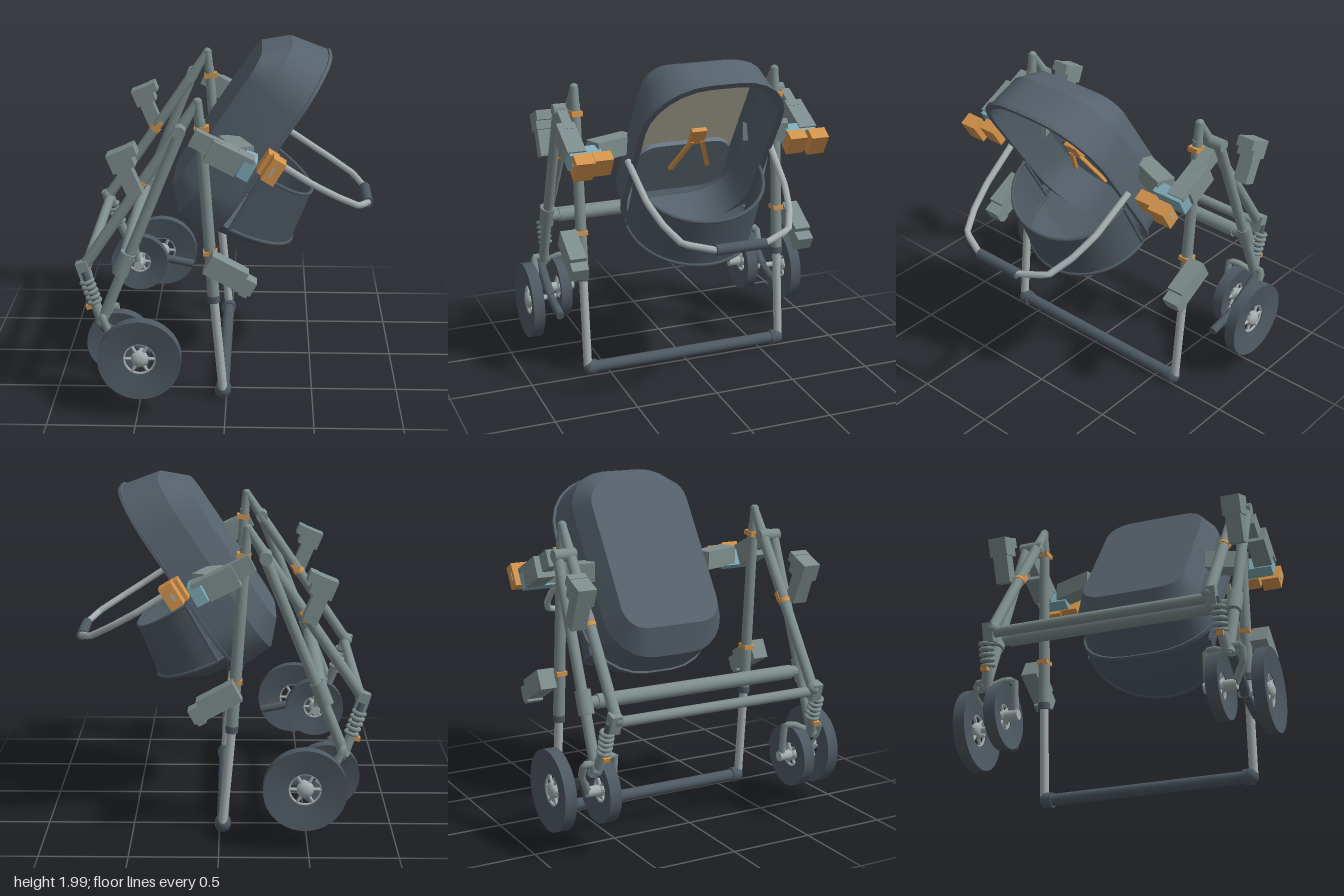
import * as THREE from 'three';
import { toCreasedNormals } from 'three/addons/utils/BufferGeometryUtils.js';

const V = (x, y, z) => new THREE.Vector3(x, y, z);
const mat = (name, color, double) => {
  const m = new THREE.MeshStandardMaterial({ color });
  m.name = name;
  if (double) m.side = THREE.DoubleSide;
  return m;
};

// Rounded rectangle in the y-z plane at depth x
function ring(x, y0, y1, hz, r, k = 6) {
  const pts = [], yc = (y0 + y1) / 2, hy = (y1 - y0) / 2;
  for (let q = 0; q < 4; q++) {
    const sy = q === 0 || q === 3 ? 1 : -1, sz = q < 2 ? 1 : -1;
    for (let i = 0; i <= k; i++) {
      const t = (q + i / k) * Math.PI / 2;
      pts.push(V(x, yc + sy * (hy - r) + r * Math.cos(t), sz * (hz - r) + r * Math.sin(t)));
    }
  }
  return pts;
}

// Skin a list of equal-length rows, with optional end caps
function loft(rows, { closed = true, capStart = false, capEnd = false } = {}) {
  const out = [], n = rows[0].length;
  const tri = (...p) => p.forEach(v => out.push(v.x, v.y, v.z));
  const cap = (row, flip) => {
    const c = row.reduce((s, p) => s.add(p), V(0, 0, 0)).divideScalar(n);
    row.forEach((p, j) => {
      const q = row[(j + 1) % n];
      if (flip) tri(c, q, p); else tri(c, p, q);
    });
  };
  for (let i = 0; i < rows.length - 1; i++)
    for (let j = 0; j < (closed ? n : n - 1); j++) {
      const k = (j + 1) % n, a = rows[i][j], b = rows[i][k], c = rows[i + 1][k], d = rows[i + 1][j];
      tri(a, b, c);
      tri(a, c, d);
    }
  if (capStart) cap(rows[0], true);
  if (capEnd) cap(rows[rows.length - 1], false);
  const g = new THREE.BufferGeometry();
  g.setAttribute('position', new THREE.Float32BufferAttribute(out, 3));
  return toCreasedNormals(g, 0.3);
}

export function createModel() {
  const root = new THREE.Group();
  root.name = 'stroller';
  const shell = mat('shellSlate', 0x56626d), fabric = mat('apronSlate', 0x505b65, true);
  const steel = mat('frameGrey', 0x7e8d8d), dark = mat('darkTube', 0x4e5962);
  const light = mat('lightMetal', 0xa6afb0), orange = mat('orangeClip', 0xd4944c);
  const teal = mat('tealLatch', 0x7eaab6), beige = mat('beigeLiner', 0xcbc6b2);
  const blanket = mat('blanketSlate', 0x6a7783);

  const add = (name, geo, m, p = V(0, 0, 0), rz = 0, parent = root) => {
    const mesh = new THREE.Mesh(geo, m);
    mesh.name = name;
    mesh.position.copy(p);
    mesh.rotation.z = rz;
    parent.add(mesh);
    return mesh;
  };
  const box = (name, p, size, m, rz = 0, parent = root) => add(name, new THREE.BoxGeometry(...size), m, p, rz, parent);
  const ball = (name, p, r, m) => add(name, new THREE.SphereGeometry(r, 16, 12), m, p);
  // Straight tube from a to b
  const rod = (name, a, b, r, m, rEnd = r, parent = root) => {
    const d = b.clone().sub(a);
    const mesh = add(name, new THREE.CylinderGeometry(rEnd, r, d.length(), 16), m, a.clone().add(b).multiplyScalar(0.5), 0, parent);
    mesh.quaternion.setFromUnitVectors(V(0, 1, 0), d.normalize());
    return mesh;
  };
  const path = (name, pts, r, m, parent = root) => {
    const curve = new THREE.CurvePath();
    for (let i = 1; i < pts.length; i++) curve.add(new THREE.LineCurve3(pts[i - 1], pts[i]));
    add(name, new THREE.TubeGeometry(curve, pts.length * 4, r, 8), m, undefined, 0, parent);
  };

  // Carrycot, modelled upright in its own frame: x out of the opening, y along its length
  const cot = new THREE.Group();
  cot.name = 'carrycot';
  cot.rotation.z = -0.588;
  root.add(cot);
  add('tub', loft([
    ring(-0.925, 0.79, 1.73, 0.32, 0.14), ring(-0.8, 0.65, 1.86, 0.39, 0.27), ring(-0.585, 0.635, 1.915, 0.42, 0.34),
    ring(-0.585, 0.625, 1.925, 0.435, 0.35), ring(-0.565, 0.625, 1.925, 0.435, 0.35), ring(-0.565, 0.66, 1.89, 0.4, 0.32),
    ring(-0.79, 0.68, 1.83, 0.365, 0.25), ring(-0.9, 0.8, 1.72, 0.31, 0.13)], { capStart: true, capEnd: true }), shell, undefined, 0, cot);
  add('mattress', loft([ring(-0.9, 0.8, 1.72, 0.31, 0.13), ring(-0.81, 0.76, 1.78, 0.312, 0.13)], { capEnd: true }), beige, undefined, 0, cot);
  add('blanket', loft([ring(-0.81, 0.76, 1.18, 0.305, 0.13), ring(-0.78, 0.76, 1.18, 0.305, 0.13)], { capEnd: true }), blanket, undefined, 0, cot);

  // Apron over the foot end
  const bow = (n0, depth, hz, y, rise) => Array.from({ length: 19 }, (_, i) => {
    const t = i / 18 * Math.PI, s = Math.pow(Math.abs(Math.sin(t)), 0.9);
    return V(n0 + depth * s, y + rise * s, hz * Math.cos(t));
  });
  const top = bow(-0.55, 0.36, 0.39, 1.18, 0), low = bow(-0.52, 0.4, 0.385, 0.8, 0.06);
  // Rounded floor from the low rim back to the tub
  const back = low.map(p => V(-0.57, 0.65 + 1.0 * p.z * p.z, p.z));
  const belly = low.map((p, i) => V((p.x + back[i].x) / 2, (p.y + back[i].y) / 2 - 0.05 * Math.sin(i / 18 * Math.PI), p.z));
  add('apron', loft([low, top], { closed: false }), fabric, undefined, 0, cot);
  add('apronFloor', loft([back, belly, low], { closed: false }), fabric, undefined, 0, cot);
  path('apronTopLip', top, 0.011, fabric, cot);
  path('apronLowLip', low, 0.011, fabric, cot);
  for (const i of [0, 18]) path('apronSeam', [top[i], low[i]], 0.011, fabric, cot);

  // Harness
  box('harnessBuckle', V(-0.69, 1.355, 0), [0.03, 0.11, 0.09], orange, 0, cot);
  for (const s of [1, -1]) {
    const strap = box('harnessStrap', V(-0.68, 1.205, s * 0.075), [0.02, 0.25, 0.025], orange, 0, cot);
    strap.rotation.x = -s * 0.36;
  }

  // Bumper handle
  const half = [V(0.22, 1.42, 0.445), V(0.48, 1.25, 0.425), V(0.63, 1.16, 0.385), V(0.76, 1.085, 0.32), V(0.825, 1.05, 0.15)];
  path('bumperHandle', [...half, ...half.map(p => V(p.x, p.y, -p.z)).reverse()], 0.02, light);
  rod('bumperGrip', V(0.825, 1.05, -0.15), V(0.825, 1.05, 0.15), 0.031, dark);

  // Cross tubes
  rod('frontFootBar', V(-0.02, 0.05, -0.62), V(-0.02, 0.05, 0.62), 0.036, dark);
  rod('rearCrossTube', V(-0.57, 0.86, -0.64), V(-0.57, 0.86, 0.64), 0.042, steel);
  rod('rearLowerTube', V(-0.8, 0.8, -0.64), V(-0.8, 0.8, 0.64), 0.03, steel);

  // Dished wheel with hub and spokes
  const wheel = (name, r, p) => {
    const g = new THREE.Group();
    g.name = name;
    g.position.copy(p);
    root.add(g);
    const k = r / 0.235;
    const prof = [[0.092, -0.012], [0.235, -0.035], [0.235, 0.035], [0.092, 0.012], [0.092, -0.012]]
      .map(([a, b]) => new THREE.Vector2(a * k, b));
    const tyre = add('tyre', toCreasedNormals(new THREE.LatheGeometry(prof, 40), 0.4), dark, undefined, 0, g);
    tyre.rotation.x = Math.PI / 2;
    add('hub', new THREE.SphereGeometry(0.05 * k, 16, 12), light, undefined, 0, g).scale.z = 0.65;
    add('rim', new THREE.TorusGeometry(0.09 * k, 0.008, 8, 32), light, undefined, 0, g);
    for (let i = 0; i < 6; i++) {
      const a = i * Math.PI / 3;
      rod('spoke', V(0, 0, 0), V(Math.cos(a) * 0.092 * k, Math.sin(a) * 0.092 * k, 0), 0.011, light, 0.009, g);
    }
  };

  // Everything that is mirrored front to back
  for (const s of [1, -1]) {
    const P = (x, y, z) => V(x, y, s * z);
    // Front leg
    rod('frontLeg', P(-0.07, 0.61, 0.64), P(-0.145, 1.68, 0.64), 0.035, steel, 0.03);
    rod('frontLegSleeve', P(-0.07, 0.609, 0.64), P(-0.073, 0.65, 0.64), 0.036, dark);
    rod('frontLegTip', P(-0.02, 0.06, 0.64), P(-0.07, 0.62, 0.64), 0.026, light);
    ball('frontFoot', P(-0.02, 0.05, 0.62), 0.048, dark);
    rod('footCollar', P(-0.02, 0.05, 0.585), P(-0.02, 0.05, 0.64), 0.046, dark);
    // Apex
    rod('apexLink', P(-0.27, 1.6, 0.64), P(-0.16, 1.78, 0.64), 0.035, steel, 0.022);
    rod('apexPost', P(-0.145, 1.66, 0.64), P(-0.157, 1.79, 0.64), 0.028, steel, 0.025);
    ball('apexJoint', P(-0.157, 1.78, 0.64), 0.026, steel);
    // Rear legs
    rod('rearUpperLeg', P(-0.8, 0.83, 0.64), P(-0.24, 1.65, 0.64), 0.032, steel);
    rod('rearLowerLeg', P(-0.71, 0.5, 0.715), P(-0.25, 1.63, 0.715), 0.031, steel);
    rod('legCollar', P(-0.597, 0.8, 0.715), P(-0.545, 0.93, 0.715), 0.045, steel);
    rod('legPivot', P(-0.255, 1.63, 0.61), P(-0.255, 1.63, 0.745), 0.036, steel);
    rod('crossTubeEnd', P(-0.57, 0.86, 0.6), P(-0.57, 0.86, 0.73), 0.034, steel);
    // Suspension
    ball('springJoint', P(-0.81, 0.82, 0.64), 0.04, steel);
    box('springMount', P(-0.805, 0.8, 0.655), [0.065, 0.11, 0.06], steel, 0.3);
    rod('springRod', P(-0.8, 0.8, 0.68), P(-0.71, 0.53, 0.7), 0.02, dark);
    for (let i = 0; i < 5; i++) {
      const coil = add('springCoil', new THREE.TorusGeometry(0.033, 0.012, 8, 20), steel, P(-0.786 + i * 0.01, 0.745 - i * 0.03, 0.685));
      coil.rotation.set(Math.PI / 2, 0.32, 0);
    }
    box('springClip', P(-0.775, 0.595, 0.69), [0.035, 0.025, 0.04], orange, 0.3);
    rod('springFoot', P(-0.745, 0.62, 0.69), P(-0.7, 0.5, 0.71), 0.03, steel);
    // Wheel forks, axles and brake lever
    path('innerFork', [P(-0.69, 0.52, 0.7), P(-0.66, 0.56, 0.62), P(-0.64, 0.56, 0.565), P(-0.615, 0.36, 0.565)], 0.02, steel);
    path('outerFork', [P(-0.7, 0.55, 0.7), P(-0.69, 0.55, 0.78), P(-0.66, 0.48, 0.78), P(-0.615, 0.36, 0.72)], 0.022, steel);
    rod('innerAxle', P(-0.615, 0.36, 0.545), P(-0.615, 0.36, 0.73), 0.03, light);
    rod('outerAxle', P(-0.48, 0.355, 0.7), P(-0.48, 0.355, 0.87), 0.017, light);
    rod('axleArm', P(-0.7, 0.5, 0.735), P(-0.48, 0.355, 0.735), 0.03, dark);
    rod('brakeLever', P(-0.48, 0.355, 0.735), P(-0.26, 0.31, 0.735), 0.026, dark);
    wheel('outerWheel', 0.235, P(-0.48, 0.355, 0.87));
    wheel('innerWheel', 0.187, P(-0.612, 0.36, 0.64));

    // Rear bracket
    box('rearBracket', P(-0.535, 1.38, 0.725), [0.22, 0.085, 0.09], steel, -1.18);
    box('rearBracketHead', P(-0.57, 1.48, 0.725), [0.11, 0.13, 0.11], steel, -1.18);
    box('rearBracketTab', P(-0.51, 1.535, 0.725), [0.06, 0.045, 0.11], steel, -1.18);
    box('rearClip', P(-0.47, 1.3, 0.64), [0.03, 0.06, 0.07], orange, -0.6);
    rod('rearClipBand', P(-0.502, 1.266, 0.64), P(-0.488, 1.287, 0.64), 0.036, orange);
    // Upper bracket
    box('upperBracket', P(-0.01, 1.5, 0.725), [0.19, 0.13, 0.11], steel, -0.47);
    box('upperBracketArm', P(-0.11, 1.57, 0.715), [0.16, 0.1, 0.06], steel, -0.47);
    box('upperBracketTab', P(0.11, 1.5, 0.725), [0.1, 0.025, 0.11], steel, -0.47);
    box('upperClip', P(-0.135, 1.63, 0.64), [0.08, 0.03, 0.065], orange, 0.1);
    // Lower bracket
    box('lowerBracket', P(0.0, 0.83, 0.725), [0.23, 0.12, 0.1], steel, -0.5);
    box('lowerBracketTab', P(0.115, 0.755, 0.725), [0.09, 0.085, 0.1], steel, -0.5);
    box('lowerBracketLip', P(0.1, 0.715, 0.725), [0.05, 0.04, 0.1], steel, -0.5);
    box('lowerClip', P(-0.09, 0.91, 0.64), [0.08, 0.025, 0.065], orange, 0.07);
    // Carrycot arm and latch
    const arm = box('cotArm', P(0.05, 1.465, 0.49), [0.11, 0.11, 0.27], steel);
    arm.rotation.y = s * 0.38;
    box('latch', P(0.115, 1.435, 0.675), [0.07, 0.12, 0.19], teal, -0.5);
    box('handleClipInner', P(0.23, 1.425, 0.605), [0.07, 0.13, 0.11], orange, -0.55);
    box('handleClipOuter', P(0.26, 1.425, 0.725), [0.08, 0.14, 0.11], orange, -0.55);
    box('handleClipSlot', P(0.25, 1.425, 0.781), [0.015, 0.05, 0.005], light, -0.55);
  }
  return root;
}
